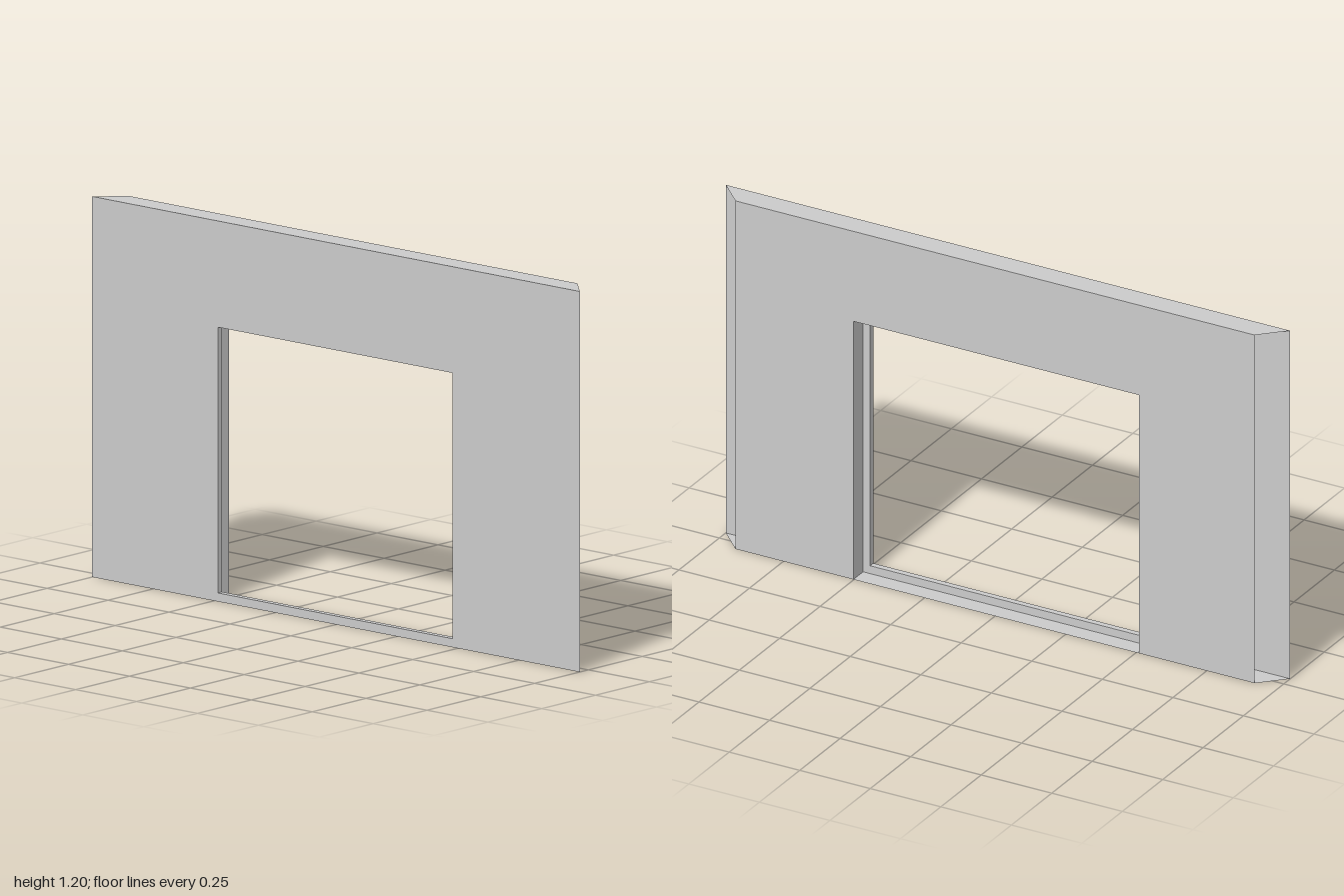
import * as THREE from 'three';

const FRONT = 0.04, STEP = 0.02, BACK = -0.04;   // depth levels
const HEIGHT = 1.2, HALF_FRONT = 1, HALF_BACK = 0.92;

const material = new THREE.MeshStandardMaterial({ color: 0xcccccc, side: THREE.DoubleSide, flatShading: true });

const rect = (x0, x1, y0, y1) => [[x0, y0], [x1, y0], [x1, y1], [x0, y1]];

// Flat panel at depth z, optionally with a hole, facing front or back
function panel(name, outline, hole, z, facesBack = false) {
  const s = facesBack ? -1 : 1;
  const pts = list => list.map(([x, y]) => new THREE.Vector2(s * x, y));
  const shape = new THREE.Shape(pts(outline));
  if (hole) shape.holes.push(new THREE.Path(pts(hole)));
  const geometry = new THREE.ShapeGeometry(shape);
  if (facesBack) geometry.rotateY(Math.PI);
  geometry.translate(0, 0, z);
  const mesh = new THREE.Mesh(geometry, material);
  mesh.name = name;
  return mesh;
}

// Strip of flat quads joining a front path to a back path
function strip(name, front, zFront, back, zBack, closed = false) {
  const pos = [];
  const n = front.length;
  for (let i = 0; i < (closed ? n : n - 1); i++) {
    const j = (i + 1) % n;
    const a = [...front[i], zFront], b = [...front[j], zFront];
    const c = [...back[j], zBack], d = [...back[i], zBack];
    pos.push(...a, ...b, ...c, ...a, ...c, ...d);
  }
  const geometry = new THREE.BufferGeometry();
  geometry.setAttribute('position', new THREE.Float32BufferAttribute(pos, 3));
  geometry.computeVertexNormals();
  const mesh = new THREE.Mesh(geometry, material);
  mesh.name = name;
  return mesh;
}

export function createModel() {
  const group = new THREE.Group();
  group.name = 'wallWithOpening';

  // Narrow opening in front, wider rebate behind that reaches the floor
  const opening = rect(-0.485, 0.477, 0.027, 0.865);
  const rebate = rect(-0.51, 0.502, 0, 0.89);
  const rebatePath = [rebate[1], rebate[2], rebate[3], rebate[0]];

  // Wall faces
  group.add(panel('frontFace', rect(-HALF_FRONT, HALF_FRONT, 0, HEIGHT), opening, FRONT));
  const backOutline = [
    [-HALF_BACK, 0], ...[...rebatePath].reverse(), [HALF_BACK, 0],
    [HALF_BACK, HEIGHT], [-HALF_BACK, HEIGHT],
  ];
  group.add(panel('backFace', backOutline, null, BACK, true));

  // Top and bottom edges, mitred at 45 degrees; the two ends stay open
  const edge = (half, y) => [[-half, y], [half, y]];
  group.add(strip('topEdge', edge(HALF_FRONT, HEIGHT), FRONT, edge(HALF_BACK, HEIGHT), BACK));
  group.add(strip('bottomEdge', edge(-HALF_FRONT, 0), FRONT, edge(-HALF_BACK, 0), BACK));

  // Opening: front reveal, step ring and rebate jambs with head
  group.add(strip('frontReveal', opening, FRONT, opening, STEP, true));
  group.add(panel('rebateStep', rebate, opening, STEP, true));
  group.add(strip('rebateReveal', rebatePath, STEP, rebatePath, BACK));

  return group;
}
